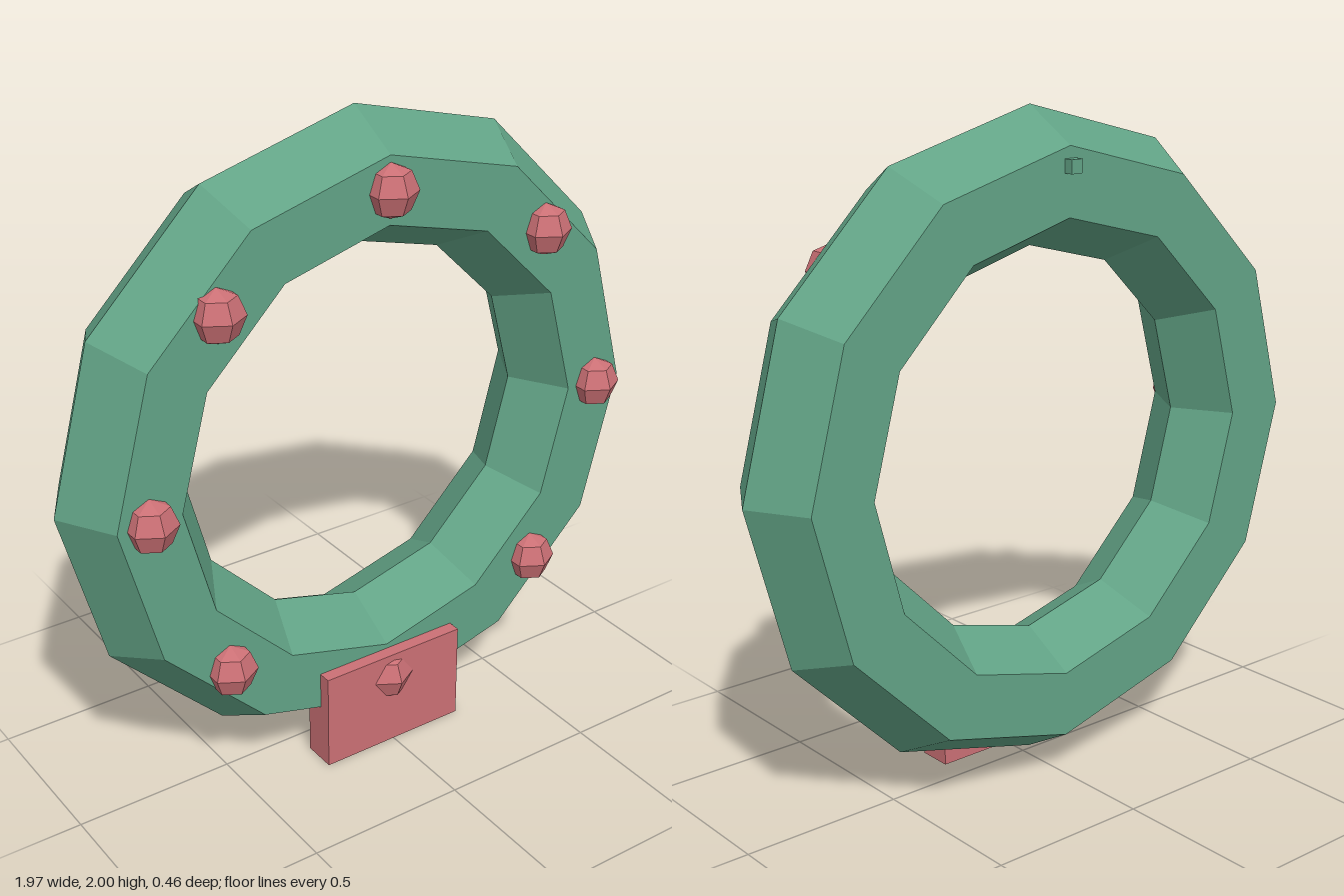
import * as THREE from 'three';

export function createModel() {
  const group = new THREE.Group();
  const green = new THREE.MeshStandardMaterial({ color: 0x62a386, flatShading: true });
  green.name = 'leaf green';
  const red = new THREE.MeshStandardMaterial({ color: 0xcb7075, flatShading: true });
  red.name = 'berry red';

  const R = 0.785, TUBE = 0.2, CY = 1.015, CZ = -0.03;

  function add(name, geometry, material, x, y, z) {
    const mesh = new THREE.Mesh(geometry, material);
    mesh.name = name;
    mesh.position.set(x, y, z);
    group.add(mesh);
    return mesh;
  }

  // Wreath: twelve-sided ring with a hexagonal section
  add('wreathRing', new THREE.TorusGeometry(R, TUBE, 6, 12), green, 0, CY, CZ);

  // Eight faceted berries on the front face, one corner pointing forward
  const berry = new THREE.SphereGeometry(0.08, 6, 4).rotateY(Math.PI / 2);
  for (let i = 0; i < 8; i++) {
    const a = (i * Math.PI) / 4;
    add('berry' + (i + 1), berry, red, R * Math.cos(a), CY + R * Math.sin(a), 0.145);
  }

  // Flat bow plate at the bottom
  add('bow', new THREE.BoxGeometry(0.49, 0.315, 0.105), red, 0, 0.1575, 0.1315);

  // Small hanging peg on the back
  add('hangingPeg', new THREE.BoxGeometry(0.04, 0.04, 0.06), green, 0, 1.845, -0.202);

  return group;
}
